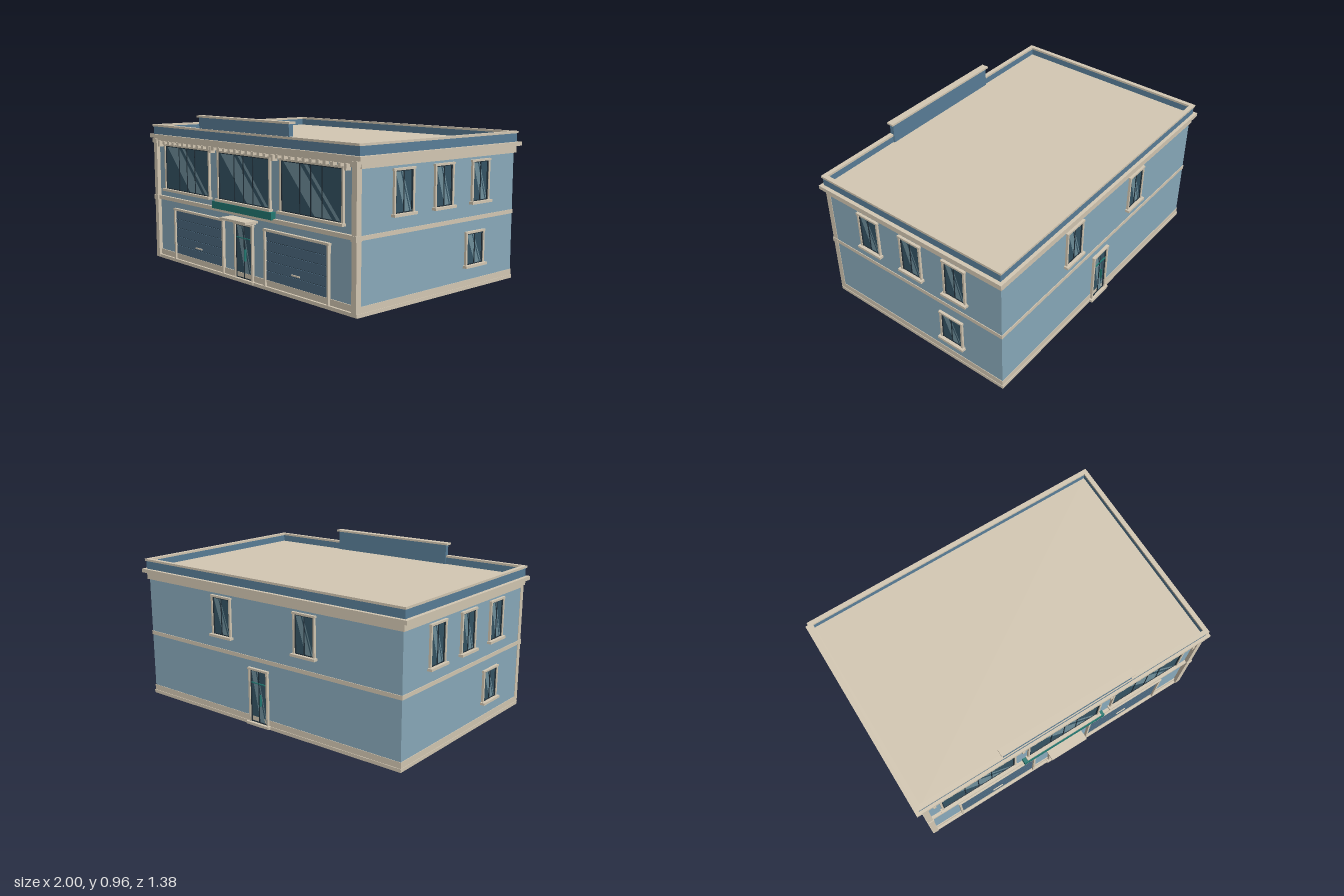
import * as THREE from 'three';

const mat = (color) => new THREE.MeshStandardMaterial({ color });
const M = {
  wall: mat(0x8aabbc), trim: mat(0xd5c9b4), parapet: mat(0x5a7f99), shutter: mat(0x4d6b82),
  glass: mat(0x355464), glare: mat(0x6f8f9b), sash: mat(0x22323d), sign: mat(0x237a73),
};

// Box given by its min/max limits on each axis
function slab(parent, name, material, x0, x1, y0, y1, z0, z1) {
  const mesh = new THREE.Mesh(new THREE.BoxGeometry(x1 - x0, y1 - y0, z1 - z0), material);
  mesh.position.set((x0 + x1) / 2, (y0 + y1) / 2, (z0 + z1) / 2);
  mesh.name = name;
  parent.add(mesh);
  return mesh;
}

// Rectangular ring of constant height, open in the middle
function ring(parent, name, material, x, zBack, zFront, t, y0, y1) {
  const rect = (p, a, b, c) => p.moveTo(-a, -b).lineTo(a, -b).lineTo(a, -c).lineTo(-a, -c).closePath();
  const shape = rect(new THREE.Shape(), x, zFront, zBack);
  shape.holes.push(rect(new THREE.Path(), x - t, zFront - t, zBack + t));
  const geo = new THREE.ExtrudeGeometry(shape, { depth: y1 - y0, bevelEnabled: false });
  geo.rotateX(-Math.PI / 2);
  const mesh = new THREE.Mesh(geo, material);
  mesh.position.y = y0;
  mesh.name = name;
  parent.add(mesh);
}

// Group whose local +z points out of a wall
function onWall(parent, name, x, y, z, turn) {
  const g = new THREE.Group();
  g.name = name;
  g.position.set(x, y, z);
  g.rotation.y = turn;
  parent.add(g);
  return g;
}

// Glass pane with a dark sash, mullions and slanted reflections; bottom centre at the origin
function pane(g, w, h, y, mullions) {
  const a = w / 2, s = 0.006;
  slab(g, 'glass', M.glass, -a, a, y, y + h, -0.005, 0.003);
  for (const [l, r] of [[-0.48, -0.2], [-0.13, -0.07]]) {
    const shift = 0.55 * w;
    const shape = new THREE.Shape([
      new THREE.Vector2(l * w, y + h), new THREE.Vector2(l * w + shift, y),
      new THREE.Vector2(r * w + shift, y), new THREE.Vector2(r * w, y + h),
    ]);
    const m = new THREE.Mesh(new THREE.ShapeGeometry(shape), M.glare);
    m.position.z = 0.0045;
    m.name = 'reflection';
    g.add(m);
  }
  for (const e of [-1, 1]) slab(g, 'sash', M.sash, e * (a - s / 2) - s / 2, e * (a - s / 2) + s / 2, y, y + h, 0, 0.009);
  slab(g, 'sash', M.sash, -a, a, y, y + s, 0, 0.008);
  slab(g, 'sash', M.sash, -a, a, y + h - s, y + h, 0, 0.008);
  for (const x of mullions) slab(g, 'mullion', M.sash, x - 0.003, x + 0.003, y, y + h, 0, 0.0075);
}

// Jambs and a slightly wider head around an opening
function surround(g, w, h, t, depth) {
  const a = w / 2;
  for (const e of [-1, 1]) slab(g, 'jamb', M.trim, Math.min(e * a, e * (a + t)), Math.max(e * a, e * (a + t)), 0, h, -0.005, depth);
  slab(g, 'head', M.trim, -a - t - 0.004, a + t + 0.004, h, h + t, -0.005, depth + 0.002);
}

function windowUnit(parent, name, x, y, z, turn, w, h, mullions) {
  const g = onWall(parent, name, x, y, z, turn);
  pane(g, w, h, 0, mullions);
  surround(g, w, h, 0.012, 0.014);
  slab(g, 'sill', M.trim, -w / 2 - 0.022, w / 2 + 0.022, -0.014, 0.001, -0.005, 0.028);
}

function doorUnit(parent, name, x, z, turn, w) {
  const g = onWall(parent, name, x, 0, z, turn);
  pane(g, w, 0.32, 0.022, [0]);
  surround(g, w, 0.342, 0.012, 0.016);
  slab(g, 'pushBar', M.sign, -w * 0.45, w * 0.45, 0.262, 0.267, 0, 0.011);
  slab(g, 'handle', M.sign, 0.014, 0.019, 0.13, 0.2, 0, 0.018);
  slab(g, 'step', M.trim, -w / 2 - 0.025, w / 2 + 0.025, 0.006, 0.022, -0.005, 0.027);
}

function garageDoor(parent, x) {
  const g = onWall(parent, 'garageDoor', x, 0, 0.6, 0);
  const panels = 5, y0 = 0.055, h = 0.285 / panels;
  slab(g, 'doorBacking', M.sash, -0.262, 0.262, y0, 0.34, -0.005, 0.003);
  for (let i = 0; i < panels; i++)
    slab(g, 'panel', M.shutter, -0.26, 0.26, y0 + i * h + 0.002, y0 + (i + 1) * h - 0.002, 0, 0.008);
  slab(g, 'handle', M.trim, -0.035, 0.035, 0.122, 0.13, 0, 0.014);
  surround(g, 0.524, 0.34, 0.013, 0.018);
}

export function createModel() {
  const root = new THREE.Group();
  root.name = 'shopBuilding';
  const X = 0.963, ZF = 0.6, ZB = -0.66;

  // Main body and the horizontal bands around it
  slab(root, 'walls', M.wall, -X, X, 0.01, 0.8, ZB, ZF);
  slab(root, 'plinth', M.trim, -0.969, 0.969, 0, 0.02, -0.667, 0.62);
  slab(root, 'baseBand', M.trim, -0.966, 0.966, 0.019, 0.055, -0.663, 0.606);
  slab(root, 'beltCourse', M.trim, -0.967, 0.967, 0.395, 0.419, -0.664, 0.618);
  slab(root, 'frieze', M.trim, -0.974, 0.974, 0.757, 0.8, ZB - 0.011, ZF - 0.001);
  slab(root, 'frontFrieze', M.trim, -0.974, 0.974, 0.78, 0.8, ZF - 0.01, 0.622);
  slab(root, 'cornice', M.trim, -1, 1, 0.799, 0.822, -0.69, 0.634);
  slab(root, 'roof', M.trim, -0.97, 0.97, 0.82, 0.83, -0.66, 0.605);

  // Corner pilasters on the front
  for (const e of [-1, 1]) {
    slab(root, 'pilaster', M.trim, e * 0.948 - 0.018, e * 0.948 + 0.018, 0.005, 0.785, 0.59, 0.624);
    slab(root, 'pilasterCapital', M.trim, e * 0.948 - 0.025, e * 0.948 + 0.025, 0.765, 0.795, 0.59, 0.629);
    slab(root, 'pilasterBand', M.trim, e * 0.948 - 0.021, e * 0.948 + 0.021, 0.39, 0.421, 0.59, 0.629);
  }

  // Parapet with coping and a raised centre
  ring(root, 'parapet', M.parapet, 0.977, -0.669, 0.616, 0.018, 0.82, 0.873);
  ring(root, 'parapetCoping', M.trim, 0.983, -0.676, 0.623, 0.028, 0.872, 0.885);
  slab(root, 'raisedParapet', M.parapet, -0.432, 0.432, 0.825, 0.954, 0.589, 0.6175);
  slab(root, 'raisedCoping', M.trim, -0.445, 0.445, 0.953, 0.965, 0.58, 0.626);

  // Small blocks below the front cornice, larger ones between the windows
  const count = 31;
  for (let i = 0; i < count; i++) {
    const x = -0.84 + (1.68 * i) / (count - 1);
    slab(root, 'dentil', M.trim, x - 0.012, x + 0.012, 0.762, 0.782, 0.59, 0.628);
  }
  for (const x of [-0.89, -0.302, 0.302, 0.89])
    slab(root, 'bracket', M.trim, x - 0.009, x + 0.009, 0.745, 0.782, 0.59, 0.633);

  // Front: upper windows, garage doors, entrance, sign and canopy
  for (const x of [-0.598, 0, 0.598])
    windowUnit(root, 'frontWindow', x, 0.47, ZF, 0, 0.49, 0.282, [-0.09, 0, 0.09]);
  garageDoor(root, -0.474);
  garageDoor(root, 0.474);
  doorUnit(root, 'frontDoor', 0, ZF, 0, 0.155);
  slab(root, 'signBoard', M.sign, -0.29, 0.29, 0.413, 0.456, 0.59, 0.632);
  slab(root, 'canopy', M.trim, -0.126, 0.126, 0.37, 0.384, 0.59, 0.69);
  slab(root, 'canopySupport', M.trim, -0.11, 0.11, 0.36, 0.371, 0.59, 0.625);

  // Sides: three upper windows and one ground window, the ground one nearer the right-hand end
  for (const e of [-1, 1]) {
    const turn = e * Math.PI / 2;
    for (const z of [-0.345, -0.03, 0.288])
      windowUnit(root, 'sideWindow', e * X, 0.504, z, turn, 0.132, 0.226, [0]);
    windowUnit(root, 'sideGroundWindow', e * X, 0.142, -0.03 - e * 0.276, turn, 0.14, 0.182, [0]);
  }

  // Back: two upper windows and a door
  for (const x of [-0.32, 0.32])
    windowUnit(root, 'backWindow', x, 0.504, ZB, Math.PI, 0.132, 0.226, [0]);
  doorUnit(root, 'backDoor', 0.03, ZB, Math.PI, 0.125);

  return root;
}
